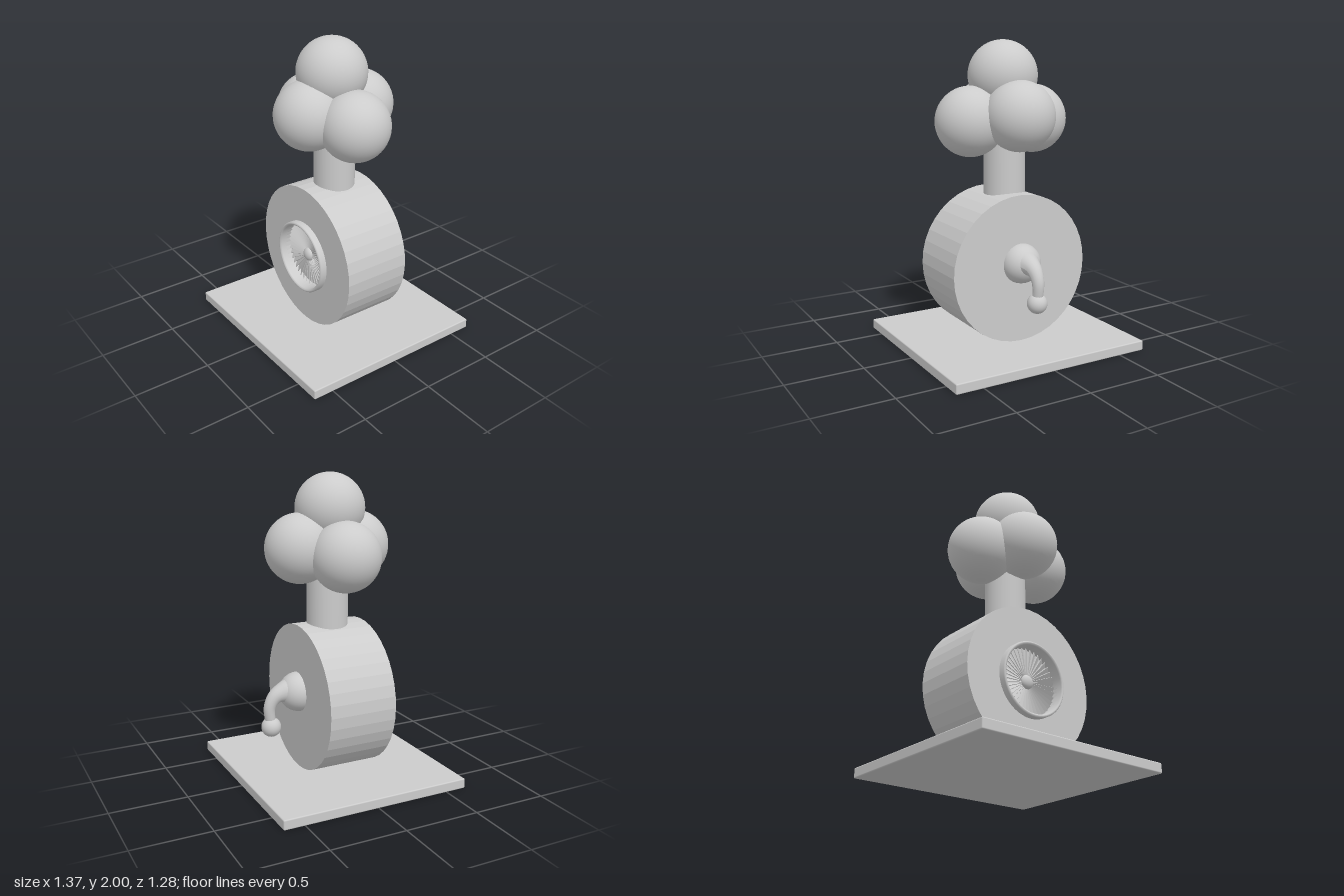
import * as THREE from 'three';
import { RoundedBoxGeometry } from 'three/addons/geometries/RoundedBoxGeometry.js';

const material = new THREE.MeshStandardMaterial({ color: 0xcccccc });
const facetedMaterial = new THREE.MeshStandardMaterial({ color: 0xcccccc, flatShading: true });

export function createModel() {
  const model = new THREE.Group();
  model.name = 'treeOnDrum';

  const add = (name, geometry, x = 0, y = 0, z = 0, parent = model, mat = material) => {
    const mesh = new THREE.Mesh(geometry, mat);
    mesh.name = name;
    mesh.position.set(x, y, z);
    parent.add(mesh);
    return mesh;
  };

  // Base slab with softened edges
  add('base', new RoundedBoxGeometry(1.37, 0.066, 1.28, 2, 0.008), 0, 0.033, 0);

  // Faceted drum lying along z, with a shallow round well in its front face
  const drumY = 0.549, drumR = 0.484, wellR = 0.222, floorZ = 0.18;
  const face = new THREE.Shape();
  for (let i = 0; i < 40; i++) {
    const a = (i / 40) * Math.PI * 2;
    face[i ? 'lineTo' : 'moveTo'](drumR * Math.cos(a), drumR * Math.sin(a));
  }
  face.closePath();
  const back = new THREE.ExtrudeGeometry(face, { depth: floorZ + 0.229, bevelEnabled: false });
  add('drumBack', back, 0, drumY, -0.229, model, facetedMaterial);
  const rim = face.clone();
  rim.holes.push(new THREE.Path().absarc(0, 0, wellR, 0, Math.PI * 2, true));
  const front = new THREE.ExtrudeGeometry(rim, { depth: 0.229 - floorZ, bevelEnabled: false, curveSegments: 24 });
  add('drumFront', front, 0, drumY, floorZ, model, facetedMaterial);

  // Raised collar around the well
  const collar = new THREE.LatheGeometry([
    [wellR, 0.18], [wellR, 0.267], [0.23, 0.275], [0.238, 0.275], [0.244, 0.268], [0.244, 0.22],
  ].map(([r, z]) => new THREE.Vector2(r, z)).reverse(), 48);
  collar.rotateX(Math.PI / 2);
  add('collar', collar, 0, drumY, 0, model,
    new THREE.MeshStandardMaterial({ color: 0xcccccc, side: THREE.DoubleSide }));

  // Turbine of tapered, tilted blades around a hub
  const turbine = new THREE.Group();
  turbine.name = 'turbine';
  turbine.position.set(0, drumY, 0.195);
  model.add(turbine);
  const bladeCount = 40, bladeLength = 0.195;
  const blade = new THREE.BoxGeometry(bladeLength, 0.036, 0.004);
  const bp = blade.attributes.position;
  for (let i = 0; i < bp.count; i++) {
    const radius = bp.getX(i) + bladeLength / 2 + 0.025;
    bp.setX(i, radius);
    bp.setY(i, bp.getY(i) * radius / 0.22);
  }
  blade.rotateX(0.6);
  blade.computeVertexNormals();
  for (let i = 0; i < bladeCount; i++) {
    add('blade', blade, 0, 0, 0, turbine, facetedMaterial).rotation.z = (i / bladeCount) * Math.PI * 2;
  }
  const hub = new THREE.SphereGeometry(0.046, 24, 16);
  hub.scale(1, 1, 0.7);
  add('hub', hub, 0, 0, 0, turbine);

  // Trunk rising from the drum
  add('trunk', new THREE.CylinderGeometry(0.135, 0.135, 0.6, 32), 0, 1.25, -0.013);

  // Crown of overlapping balls
  const ball = new THREE.SphereGeometry(0.225, 40, 28);
  for (const [name, x, y, z] of [
    ['crownTop', 0, 1.775, 0.006],
    ['crownLeft', 0.238, 1.49, 0.006],
    ['crownRight', -0.22, 1.49, 0.006],
    ['crownFront', 0, 1.53, 0.18],
    ['crownBack', 0, 1.53, -0.206],
  ]) add(name, ball, x, y, z);

  // Back boss with a bent, tapering crank and a ball grip
  add('crankBoss', new THREE.SphereGeometry(0.13, 32, 24), 0, 0.587, -0.226);
  const path = new THREE.CatmullRomCurve3([
    [0.595, -0.27], [0.596, -0.33], [0.574, -0.39], [0.51, -0.43], [0.38, -0.424],
  ].map(([y, z]) => new THREE.Vector3(0, y, z)));
  const steps = 28, sides = 20;
  const arm = new THREE.TubeGeometry(path, steps, 1, sides);
  const ap = arm.attributes.position, v = new THREE.Vector3();
  for (let i = 0; i <= steps; i++) {
    const t = i / steps, centre = path.getPointAt(t);
    const radius = 0.033 + 0.012 * (1 - t) + 0.065 * Math.pow(1 - t, 4);
    for (let j = 0; j <= sides; j++) {
      const k = i * (sides + 1) + j;
      v.fromBufferAttribute(ap, k).sub(centre).multiplyScalar(radius).add(centre);
      ap.setXYZ(k, v.x, v.y, v.z);
    }
  }
  arm.computeVertexNormals();
  add('crankArm', arm);
  add('crankGrip', new THREE.SphereGeometry(0.065, 28, 20), 0, 0.372, -0.422);

  return model;
}
